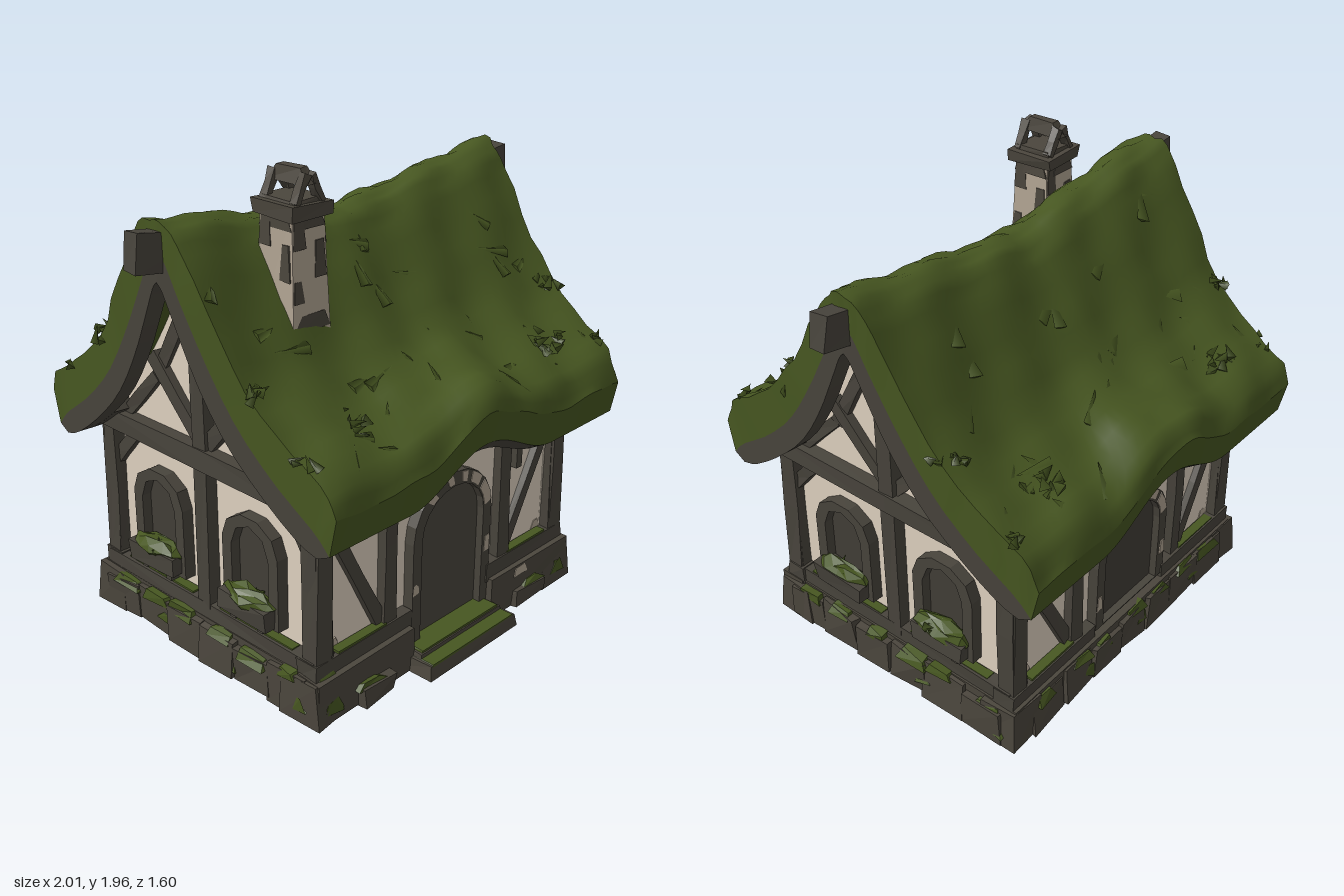
import * as THREE from 'three';
import { mergeGeometries } from 'three/addons/utils/BufferGeometryUtils.js';

const mat = (name, color) => {
  const m = new THREE.MeshStandardMaterial({ color });
  m.name = name;
  return m;
};
const moss = mat('moss', 0x475721), leaf = mat('dark leaf', 0x41501e);
const timber = mat('timber', 0x48443c), stone = mat('stone', 0x4b463d), door = mat('door wood', 0x4a463d);
const plaster = mat('plaster', 0xe0d3c1), tan = mat('worn render', 0xb3a694), dark = mat('dark glass', 0x423e37);

let seed = 7;
const rnd = () => (seed = (seed * 16807) % 2147483647) / 2147483647;
const range = (a, b) => a + (b - a) * rnd();
const V = (x, y) => new THREE.Vector2(x, y);

function add(parent, name, geo, material) {
  const m = new THREE.Mesh(geo, material);
  m.name = name;
  parent.add(m);
  return m;
}

// Faceted geometry with shared corners nudged by the same hashed amount
function rough(geo, amt) {
  const p = geo.attributes.position, salt = range(0, 50);
  const h = (a, b, c, k) => { const s = Math.sin(a * 91.7 + b * 47.3 + c * 73.1 + k + salt) * 437.5; return (s - Math.floor(s) - 0.5) * 2 * amt; };
  for (let i = 0; i < p.count; i++) {
    const [x, y, z] = [p.getX(i), p.getY(i), p.getZ(i)].map(n => Math.round(n * 1e4) / 1e4);
    p.setXYZ(i, x + h(x, y, z, 1), y + h(x, y, z, 2), z + h(x, y, z, 3));
  }
  const g = geo.index ? geo.toNonIndexed() : geo;
  g.computeVertexNormals();
  return g;
}

// Box standing on y, optionally tapered towards its top
function block(parent, name, m, w, h, d, x, y, z, taper = 1, amt = 0) {
  const g = new THREE.BoxGeometry(w, h, d), p = g.attributes.position;
  for (let i = 0; i < p.count; i++) if (p.getY(i) > 0) { p.setX(i, p.getX(i) * taper); p.setZ(i, p.getZ(i) * taper); }
  const b = add(parent, name, rough(g, amt), m);
  b.position.set(x, y + h / 2, z);
  return b;
}

// Timber between two points of a facade
function beam(parent, name, x0, y0, x1, y1, w, z, d = 0.07, m = timber) {
  const len = Math.hypot(x1 - x0, y1 - y0);
  const b = add(parent, name, rough(new THREE.BoxGeometry(w, len, d, 1, 2, 1), 0.005), m);
  b.position.set((x0 + x1) / 2, (y0 + y1) / 2, z);
  b.rotation.z = -Math.atan2(x1 - x0, y1 - y0);
}

// Arch outline, and a plate or frame cut from it
function archPoints(w, y0, spring, top, seg) {
  const pts = [V(-w, y0), V(w, y0)];
  for (let i = 0; i <= seg; i++) {
    const a = i / seg * Math.PI;
    pts.push(V(w * Math.cos(a), spring + (top - spring) * Math.sin(a)));
  }
  return pts;
}
function plate(parent, name, m, pts, depth, x, z, hole) {
  const s = new THREE.Shape(pts);
  if (hole) s.holes.push(new THREE.Path(hole));
  const p = add(parent, name, new THREE.ExtrudeGeometry(s, { depth, bevelEnabled: false }), m);
  p.position.set(x, 0, z);
}

// Roof cross-sections (z, y): moss top, moss underside, timber underside
const curve = a => new THREE.CatmullRomCurve3(a.map(([z, y]) => new THREE.Vector3(0, y, z)));
const outer = curve([[0, 1.81], [0.07, 1.78], [0.14, 1.69], [0.28, 1.46], [0.42, 1.265], [0.6, 1.125], [0.745, 1.03], [0.795, 0.93]]);
const mid = curve([[0, 1.69], [0.035, 1.67], [0.1, 1.55], [0.22, 1.34], [0.36, 1.14], [0.53, 0.98], [0.71, 0.85], [0.765, 0.79]]);
const inner = curve([[0, 1.58], [0.02, 1.56], [0.06, 1.48], [0.17, 1.26], [0.3, 1.07], [0.47, 0.91], [0.64, 0.79], [0.71, 0.765]]);

const surface = (c, noise, rise) => (u, v) => {
  const p = c.getPoint(Math.abs(v)), t = p.z / 0.8;
  const x = u * (0.89 - 0.065 * t);
  const lift = Math.abs(x) < 0.42 ? 0.5 + 0.5 * Math.cos(Math.PI * x / 0.42) : 0;
  const n = noise * (Math.sin(x * 17 + v * 9) + Math.sin(x * 31 - v * 23) * 0.6 + Math.sin(v * 41 + x * 7) * 0.5);
  return new THREE.Vector3(x + n * 0.5 * u, p.y - 0.13 * (1 - Math.abs(u)) * (1 - t) + rise * lift * t * t + n, Math.sign(v) * (p.z + n * 0.4));
};

function grid(nu, nv, f, flip) {
  const pos = [], idx = [];
  for (let i = 0; i <= nu; i++) for (let j = 0; j <= nv; j++) pos.push(...f(i / nu, j / nv).toArray());
  for (let i = 0; i < nu; i++) for (let j = 0; j < nv; j++) {
    const a = i * (nv + 1) + j, b = a + 1, c = a + nv + 1, d = c + 1;
    idx.push(...(flip ? [a, c, b, b, c, d] : [a, b, c, b, d, c]));
  }
  const g = new THREE.BufferGeometry();
  g.setAttribute('position', new THREE.Float32BufferAttribute(pos, 3));
  g.setIndex(idx);
  g.computeVertexNormals();
  return g;
}

// Thick curved sheet between two roof surfaces, over a span of each
function slab(A, B, u0 = -1, u1 = 1, v0 = -1, v1 = 1) {
  const U = t => u0 + (u1 - u0) * t, W = t => v0 + (v1 - v0) * t;
  const mix = (u, v, w) => A(u, v).lerp(B(u, v), w);
  return mergeGeometries([
    grid(40, 36, (u, v) => A(U(u), W(v))),
    grid(40, 36, (u, v) => B(U(u), W(v)), true),
    grid(40, 2, (u, w) => mix(U(u), v1, w)),
    grid(40, 2, (u, w) => mix(U(u), v0, w), true),
    grid(36, 2, (v, w) => mix(u1, W(v), w), true),
    grid(36, 2, (v, w) => mix(u0, W(v), w)),
  ]);
}

function tuft(list, at, n, spread, size) {
  for (let i = 0; i < n; i++) {
    const g = new THREE.ConeGeometry(size * range(0.3, 0.6), size * range(0.8, 1.6), 3);
    g.rotateX(range(-1.3, 1.3)).rotateZ(range(-1.3, 1.3)).rotateY(range(0, 6));
    g.translate(at.x + range(-spread, spread), at.y + range(-0.5, 0.3) * spread, at.z + range(-spread, spread));
    list.push(g);
  }
}

function buildRoof(root) {
  const top = surface(outer, 0.008, 0.13), under = surface(mid, 0, 0.15), low = surface(inner, 0, 0.15);
  add(root, 'mossRoof', slab(top, under), moss);
  for (const [a, b] of [[-1, -0.92], [0.92, 1]]) add(root, 'bargeBoard', slab(under, low, a, b), timber);
  for (const [a, b] of [[-1, -0.7], [0.7, 1]]) add(root, 'eaveBoard', slab(under, low, -0.92, 0.92, a, b), timber);
  // Leaf tufts and flat sprigs lying on the slope
  const leaves = [], sprigs = [];
  for (const s of [-1, 1]) for (const t of [-1, 1]) {
    tuft(leaves, top(0.65 * s, 0.69 * t), 20, 0.075, 0.05);
    tuft(leaves, top(0.95 * s, 0.55 * t), 10, 0.05, 0.045);
    tuft(leaves, top(0.97 * s, 0.76 * t), 5, 0.04, 0.04);
  }
  for (let i = 0; i < 60; i++) {
    const p = top(range(-0.95, 0.95), (i % 2 ? 1 : -1) * range(0.25, 0.85));
    const g = new THREE.ConeGeometry(0.035, range(0.1, 0.18), 3);
    g.scale(1, 1, 0.25).rotateZ(range(-1.5, 1.5)).rotateX(Math.sign(p.z) * -0.8).translate(p.x, p.y - 0.004, p.z);
    sprigs.push(g);
  }
  add(root, 'leafTufts', mergeGeometries(leaves), leaf);
  add(root, 'mossSprigs', mergeGeometries(sprigs), moss);
  for (const s of [-1, 1]) {
    const b = add(root, 'ridgeBeamEnd', rough(new THREE.BoxGeometry(0.32, 0.135, 0.075), 0.006), timber);
    b.position.set(0.835 * s, 1.685, 0);
    b.rotation.z = 0.14 * s;
  }
}

// Long wall with arched doorway; z is outwards
function longWall(g, isFront) {
  const pts = [[-0.69, 0.2], [0.69, 0.2], [0.69, 0.96], [0.35, 0.97], [0.2, 1.02], [0, 1.05], [-0.2, 1.02], [-0.35, 0.97], [-0.69, 0.96]];
  plate(g, 'plasterWall', plaster, pts.map(p => V(...p)), 0.04, 0, 0.53);
  const y0 = isFront ? 0.02 : 0.2;
  plate(g, 'doorFrame', timber, archPoints(0.235, y0, 0.52, 0.75, 10), 0.065, 0.01, 0.55, archPoints(0.185, y0 + 0.005, 0.52, 0.69, 10));
  plate(g, 'doorPanel', isFront ? door : dark, archPoints(0.195, y0, 0.52, 0.7, 10), 0.009, 0.01, 0.574);
  // Worn patches on the arch and its jambs
  for (const [a, w] of [[0.12, 0.55], [0.75, 0.35], [1.2, 0.2], [1.6, 0.2], [2.1, 0.25]]) {
    const q = [[0.19, a], [0.232, a + 0.04], [0.232, a + w / 2], [0.232, a + w], [0.19, a + w - 0.05], [0.19, a + w / 2]];
    plate(g, 'archPatch', tan, q.map(([k, t]) => V(k * Math.cos(t), 0.515 + (k - 0.005) * Math.sin(t))), 0.006, 0.01, 0.612);
  }
  for (const [x, y] of [[-0.205, 0.3], [0.225, 0.32]]) block(g, 'jambPatch', tan, 0.035, 0.07, 0.008, x, y, 0.614, 0.7, 0.003);
  for (const s of [-1, 1]) {
    beam(g, 'cornerPost', 0.705 * s, 0.22, 0.69 * s, 0.88, 0.075, 0.575, 0.08);
    beam(g, 'innerPost', 0.345 * s, 0.22, 0.335 * s, 0.93, 0.065, 0.575);
    beam(g, 'brace', 0.38 * s, 0.26, 0.64 * s, 0.75, 0.055, 0.57, 0.05);
    block(g, 'sillBeam', timber, 0.52, 0.08, 0.1, 0.49 * s, 0.165, 0.57, 1, 0.005);
    block(g, 'sillMoss', moss, 0.26, 0.01, 0.04, 0.5 * s, 0.242, 0.595);
    block(g, 'wallChip', tan, 0.06, 0.035, 0.006, 0.62 * s, 0.25, 0.571, 0.5, 0.003);
    block(g, 'wallChip', tan, 0.04, 0.04, 0.006, 0.4 * s, 0.72, 0.571, 0.6, 0.003);
  }
}

// Gable wall with two planted windows; z is outwards
function gableWall(g) {
  const half = [];
  for (let i = 0; i <= 8; i++) {
    const a = mid.getPoint(i / 8 * 0.75);
    half.push(V(a.z, a.y));
  }
  const mirror = half.slice(1).reverse().map(p => V(-p.x, p.y));
  plate(g, 'gablePlaster', plaster, [...mirror, ...half, V(0.57, 0.2), V(-0.57, 0.2)], 0.04, 0, 0.65);
  beam(g, 'kingPost', 0, 0.2, 0, 1.62, 0.07, 0.7, 0.085);
  beam(g, 'tieBeam', -0.62, 0.855, 0.62, 0.855, 0.08, 0.7, 0.095);
  beam(g, 'sillBeam', -0.6, 0.205, 0.6, 0.205, 0.08, 0.69, 0.11);
  for (const s of [-1, 1]) {
    beam(g, 'cornerPost', 0.575 * s, 0.2, 0.565 * s, 0.84, 0.075, 0.695, 0.08);
    beam(g, 'gableBrace', 0.01 * s, 0.9, 0.28 * s, 1.19, 0.06, 0.69, 0.06);
    beam(g, 'cornerBrace', 0.56 * s, 0.66, 0.4 * s, 0.84, 0.055, 0.69, 0.06);
    beam(g, 'rafterTimber', 0.06 * s, 1.46, 0.27 * s, 1.09, 0.05, 0.69, 0.05);
    beam(g, 'rafterTimber', 0.27 * s, 1.1, 0.5 * s, 0.86, 0.045, 0.69, 0.05);
    block(g, 'sillMoss', moss, 0.4, 0.008, 0.04, 0.28 * s, 0.243, 0.715);
    const x = 0.265 * s;
    plate(g, 'windowFrame', timber, archPoints(0.15, 0.29, 0.59, 0.715, 5), 0.06, x, 0.68, archPoints(0.1, 0.34, 0.57, 0.675, 4));
    plate(g, 'windowPane', dark, archPoints(0.105, 0.33, 0.57, 0.68, 4), 0.008, x, 0.69);
    block(g, 'planter', timber, 0.25, 0.08, 0.08, x, 0.305, 0.75, 1.06, 0.008);
    for (const k of [-1, 1]) block(g, 'planterBracket', timber, 0.03, 0.05, 0.04, x + 0.075 * k, 0.27, 0.745);
    const m = add(g, 'planterMoss', rough(new THREE.IcosahedronGeometry(1, 1).scale(0.135, 0.045, 0.048), 0.014), moss);
    m.position.set(x, 0.385, 0.75);
    const leaves = [];
    tuft(leaves, new THREE.Vector3(x, 0.4, 0.755), 9, 0.035, 0.045);
    add(g, 'planterLeaves', mergeGeometries(leaves), leaf);
  }
}

// Rubble plinth with moss lodged on top and in the joints
function stoneRow(g, width, z, n) {
  const w = width / n;
  for (let i = 0; i < n; i++) {
    const x = -width / 2 + (i + 0.5) * w, h = range(0.14, 0.17);
    block(g, 'plinthStone', stone, w * 1.04, h, 0.08, x, 0.005, z - 0.025, 0.95, 0.012);
    block(g, 'stoneMoss', moss, w * range(0.5, 0.85), 0.04, 0.085, x + range(-0.03, 0.03), h - 0.022, z - 0.023, 0.75, 0.01);
    if (i % 2) block(g, 'jointMoss', moss, w * 0.4, 0.045, 0.03, x + w * 0.4, range(0.03, 0.07), z + 0.004, 0.3, 0.01).rotation.z = range(-0.5, 0.5);
  }
}

function buildBase(root) {
  // Core with a slightly hollow, faceted underside
  const core = new THREE.BoxGeometry(1.5, 0.18, 1.2, 2, 1, 2), p = core.attributes.position;
  for (let i = 0; i < p.count; i++) if (p.getX(i) === 0 && p.getZ(i) === 0 && p.getY(i) < 0) p.setY(i, -0.03);
  add(root, 'plinthCore', rough(core, 0), stone).position.set(0, 0.09, -0.035);
  for (const s of [-1, 1]) {
    block(root, 'frontPlinth', stone, 0.53, 0.18, 0.12, 0.5 * s, 0, 0.585, 0.96, 0.006);
    block(root, 'cornerStone', stone, 0.2, 0.165, 0.2, 0.685 * s, 0, 0.55, 0.86, 0.012);
    block(root, 'backCornerStone', stone, 0.18, 0.17, 0.18, 0.69 * s, 0, -0.56, 0.88, 0.012);
    block(root, 'cornerMoss', moss, 0.13, 0.03, 0.13, 0.69 * s, 0.15, 0.57, 0.6, 0.012);
    block(root, 'cornerFaceMoss', moss, 0.1, 0.05, 0.02, 0.69 * s, 0.04, 0.648, 0.4, 0.01);
    block(root, 'lowStone', stone, 0.2, 0.075, 0.07, 0.47 * s, 0, 0.64, 0.85, 0.016);
    block(root, 'lowStoneMoss', moss, 0.15, 0.025, 0.06, 0.5 * s, 0.065, 0.645, 0.5, 0.01);
  }
  block(root, 'plinthPatch', tan, 0.09, 0.04, 0.008, 0.43, 0.13, 0.645, 0.7, 0.003);
  block(root, 'doorStep', stone, 0.54, 0.055, 0.17, 0, 0, 0.665, 0.96, 0.005);
  block(root, 'upperStep', stone, 0.5, 0.03, 0.12, 0, 0.05, 0.625, 0.96, 0.004);
  block(root, 'stepMoss', moss, 0.5, 0.014, 0.15, 0, 0.05, 0.672, 0.98, 0.003);
  block(root, 'upperStepMoss', moss, 0.47, 0.014, 0.11, 0, 0.075, 0.625, 0.97, 0.003);
}

function buildChimney(root) {
  const g = new THREE.Group();
  g.name = 'chimney';
  g.position.set(-0.45, 0, 0.215);
  root.add(g);
  block(g, 'chimneyStack', tan, 0.19, 0.46, 0.19, 0, 1.34, 0, 0.83, 0.004);
  // Bare stone showing through the render
  for (let i = 0; i < 4; i++) {
    const f = new THREE.Group();
    f.name = 'chimneyFace';
    f.rotation.y = i * Math.PI / 2;
    g.add(f);
    for (const [x, y, w, h] of [[-0.05, 1.67, 0.06, 0.12], [0.05, 1.56, 0.055, 0.13], [-0.06, 1.48, 0.05, 0.08], [0.02, 1.74, 0.12, 0.045], [0, 1.37, 0.18, 0.06]])
      block(f, 'barePatch', stone, w, h, 0.008, x, y, 0.0945 - (y + h / 2 - 1.34) * 0.035, 0.7, 0.003).rotation.x = -0.035;
  }
  block(g, 'chimneyCollar', stone, 0.19, 0.05, 0.2, 0, 1.78, 0, 1.02, 0.006);
  block(g, 'collarTop', stone, 0.15, 0.02, 0.17, 0, 1.825, 0, 0.95, 0.004);
  for (const z of [-0.075, 0.075]) for (const s of [-1, 1]) beam(g, 'capLeg', 0.065 * s, 1.83, 0.01 * s, 1.93, 0.025, z, 0.035, stone);
  block(g, 'capRidge', stone, 0.06, 0.055, 0.19, 0, 1.893, 0, 0.6, 0.003);
}

export function createModel() {
  const root = new THREE.Group();
  root.name = 'cottage';
  ['frontSide', 'leftSide', 'backSide', 'rightSide'].forEach((name, i) => {
    const g = new THREE.Group();
    g.name = name;
    g.rotation.y = i * Math.PI / 2;
    root.add(g);
    if (i % 2) { gableWall(g); stoneRow(g, 1.15, 0.765, 6); }
    else { longWall(g, i === 0); if (i === 2) stoneRow(g, 1.3, 0.635, 7); }
  });
  buildBase(root);
  buildRoof(root);
  buildChimney(root);
  // Wooden peg beside the door
  block(root, 'wallPeg', timber, 0.035, 0.15, 0.03, 0.44, 0.61, 0.585);
  return root;
}
